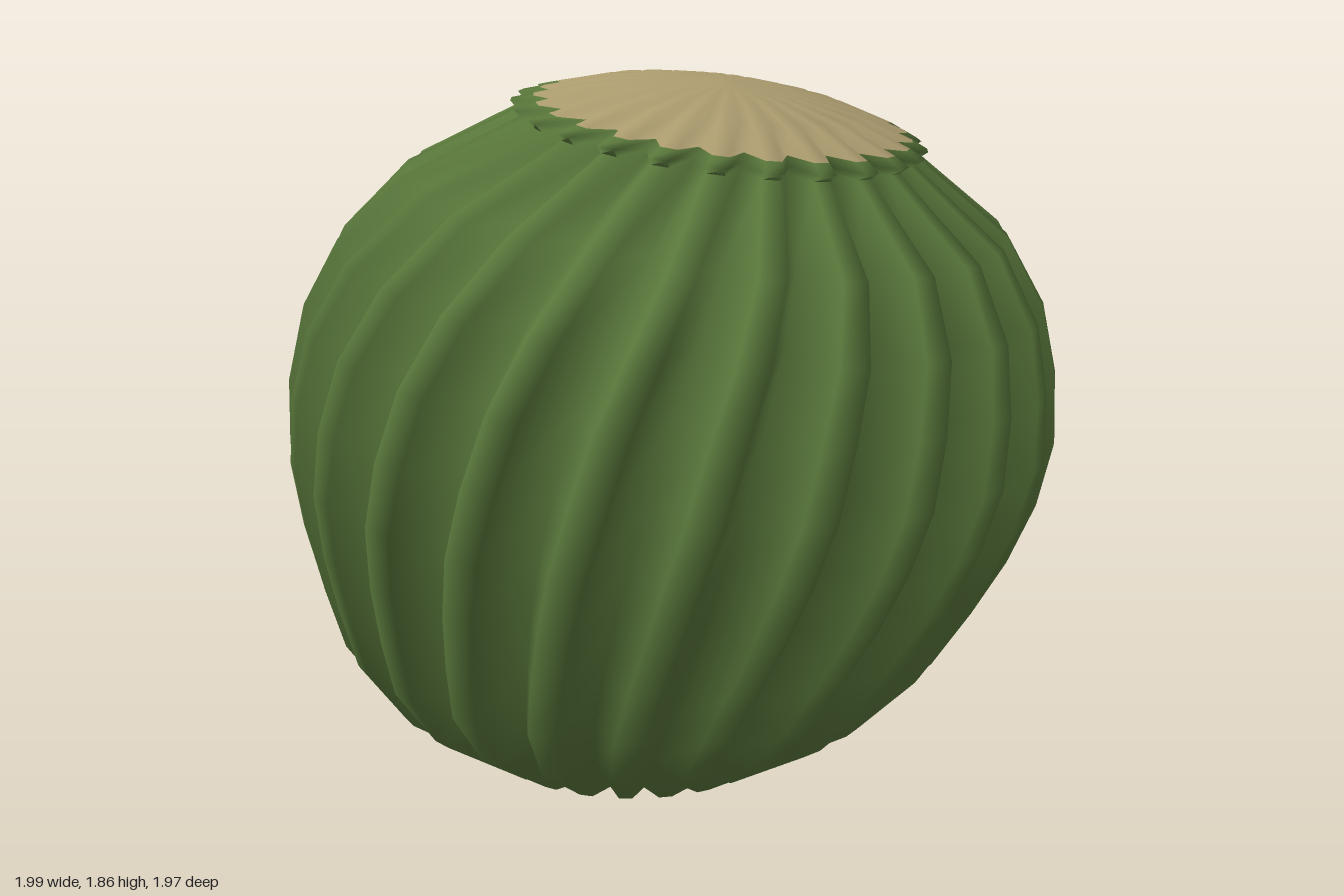
import * as THREE from 'three';

const RIBS = 25;
const SEGS = RIBS * 3; // each rib: one valley corner, two crest corners

// One ribbed ring: centre (x, y, z), crest radius r, lean towards +x, twist
function ringPoints({ x, y, z, r, lean, twist, depth = 0.155 }) {
  const points = [];
  for (let j = 0; j < SEGS; j++) {
    const a = Math.PI + (j / SEGS) * Math.PI * 2 + twist;
    const rad = r * (j % 3 === 0 ? 1 - depth : 1);
    const u = rad * Math.sin(a);
    points.push(x + u * Math.cos(lean), y - u * Math.sin(lean), z + rad * Math.cos(a));
  }
  return points;
}

// Skin a stack of rings from bottom to top
function loft(rings) {
  const geo = new THREE.BufferGeometry();
  const index = [];
  for (let k = 0; k < rings.length - 1; k++) {
    for (let j = 0; j < SEGS; j++) {
      const n = (j + 1) % SEGS;
      const a = k * SEGS + j, b = k * SEGS + n;
      const c = b + SEGS, d = a + SEGS;
      index.push(a, b, c, a, c, d);
    }
  }
  geo.setAttribute('position', new THREE.Float32BufferAttribute(rings.flatMap(ringPoints), 3));
  geo.setIndex(index);
  geo.computeVertexNormals();
  return geo;
}

export function createModel() {
  // The body is a hollow shell, open underneath
  const green = new THREE.MeshStandardMaterial({ color: 0x59773b, side: THREE.DoubleSide });
  green.name = 'cactusGreen';
  const tan = new THREE.MeshStandardMaterial({ color: 0xac9c6f, side: THREE.DoubleSide });
  tan.name = 'woollyTan';

  const group = new THREE.Group();
  group.name = 'barrelCactus';
  const add = (name, geo, mat) => {
    const mesh = new THREE.Mesh(geo, mat);
    mesh.name = name;
    group.add(mesh);
  };

  // Leaning, twisting ribbed body: [centre x, centre y, crest radius]
  const profile = [
    [-0.16, 0, 0.42], [-0.15, 0.185, 0.685], [-0.125, 0.365, 0.82], [-0.085, 0.535, 0.885],
    [-0.05, 0.70, 0.94], [-0.02, 0.87, 0.98], [0.013, 1.04, 0.988], [0.04, 1.215, 0.96],
    [0.085, 1.385, 0.89], [0.135, 1.55, 0.755], [0.18, 1.712, 0.495],
  ];
  const body = profile.map(([x, y, r], k) => ({
    x, y, r, z: -0.00025 * k * k, lean: 0.02 * k,
    twist: 0.012 + 0.03 * (k - 6) + 0.002 * (k - 6) ** 2,
  }));

  // Crown: a slight green lip, then a woolly dome whose ribs fade to the middle
  const crown = { z: -0.025, lean: 0.2, twist: 0.164 };
  const lip = { ...crown, x: 0.185, y: 1.73, r: 0.515, depth: 0.155 };
  const edge = { ...crown, x: 0.2, y: 1.747, r: 0.467, depth: 0.14 };
  add('ribbedBody', loft([...body, lip, edge]), green);
  add('woollyCrown', loft([
    edge,
    { ...crown, x: 0.207, y: 1.79, r: 0.33, depth: 0.1 },
    { ...crown, x: 0.215, y: 1.818, r: 0.17, depth: 0.05 },
    { ...crown, x: 0.22, y: 1.826, r: 0.0001, depth: 0 },
  ]), tan);

  return group;
}
